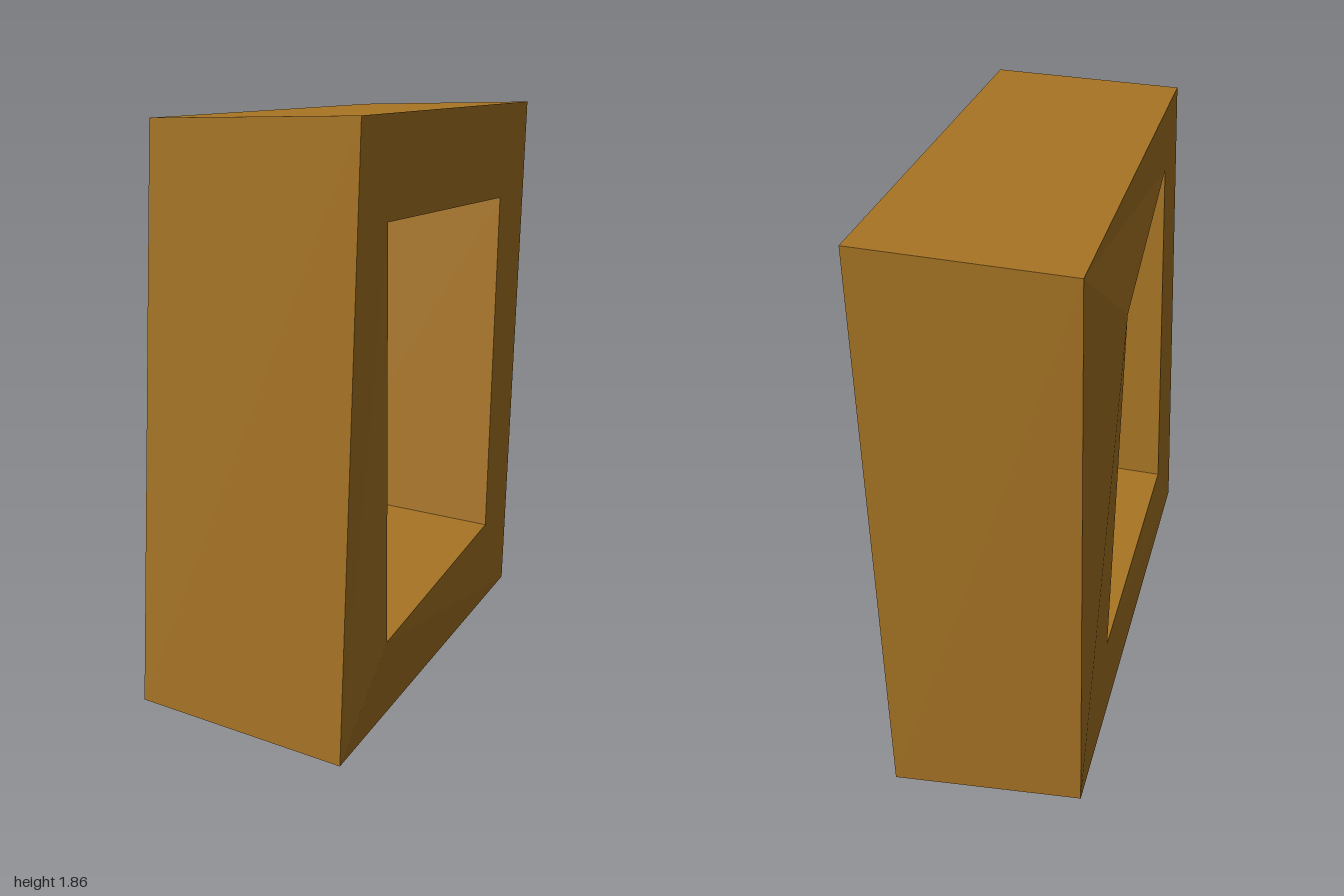
import * as THREE from 'three';

// Four mitred corners of the frame, each a cross-section:
// outer left, inner left, inner right, outer right (left is +x)
const corners = [
  [[0.315, 0.01, 1.0], [0.375, 0.305, 0.765], [-0.33, 0.355, 0.61], [-0.34, 0.09, 0.925]], // bottom front
  [[0.35, 1.825, 0.92], [0.35, 1.525, 0.695], [-0.31, 1.585, 0.62], [-0.315, 1.815, 0.85]], // top front
  [[0.355, 1.855, -0.935], [0.345, 1.515, -0.585], [-0.375, 1.6, -0.66], [-0.31, 1.845, -1.0]], // top back
  [[0.305, 0.0, -0.87], [0.343, 0.327, -0.46], [-0.32, 0.375, -0.53], [-0.31, 0.075, -0.93]], // bottom back
];

// One beam spans two neighbouring corner sections
function beam(name, from, to, material) {
  const points = [];
  for (let j = 0; j < 4; j++) {
    const n = (j + 1) % 4;
    const [a, b, c, d] = [from[j], from[n], to[n], to[j]];
    points.push(...a, ...b, ...c, ...a, ...c, ...d);
  }
  const geometry = new THREE.BufferGeometry();
  geometry.setAttribute('position', new THREE.Float32BufferAttribute(points, 3));
  geometry.computeVertexNormals(); // unshared corners give flat faces
  const mesh = new THREE.Mesh(geometry, material);
  mesh.name = name;
  return mesh;
}

export function createModel() {
  const group = new THREE.Group();
  group.name = 'frame';
  const wood = new THREE.MeshStandardMaterial({ color: 0xa87524 });
  wood.name = 'golden brown';
  const names = ['frontPost', 'topBeam', 'backPost', 'bottomBeam'];
  names.forEach((name, k) => group.add(beam(name, corners[k], corners[(k + 1) % 4], wood)));
  return group;
}
